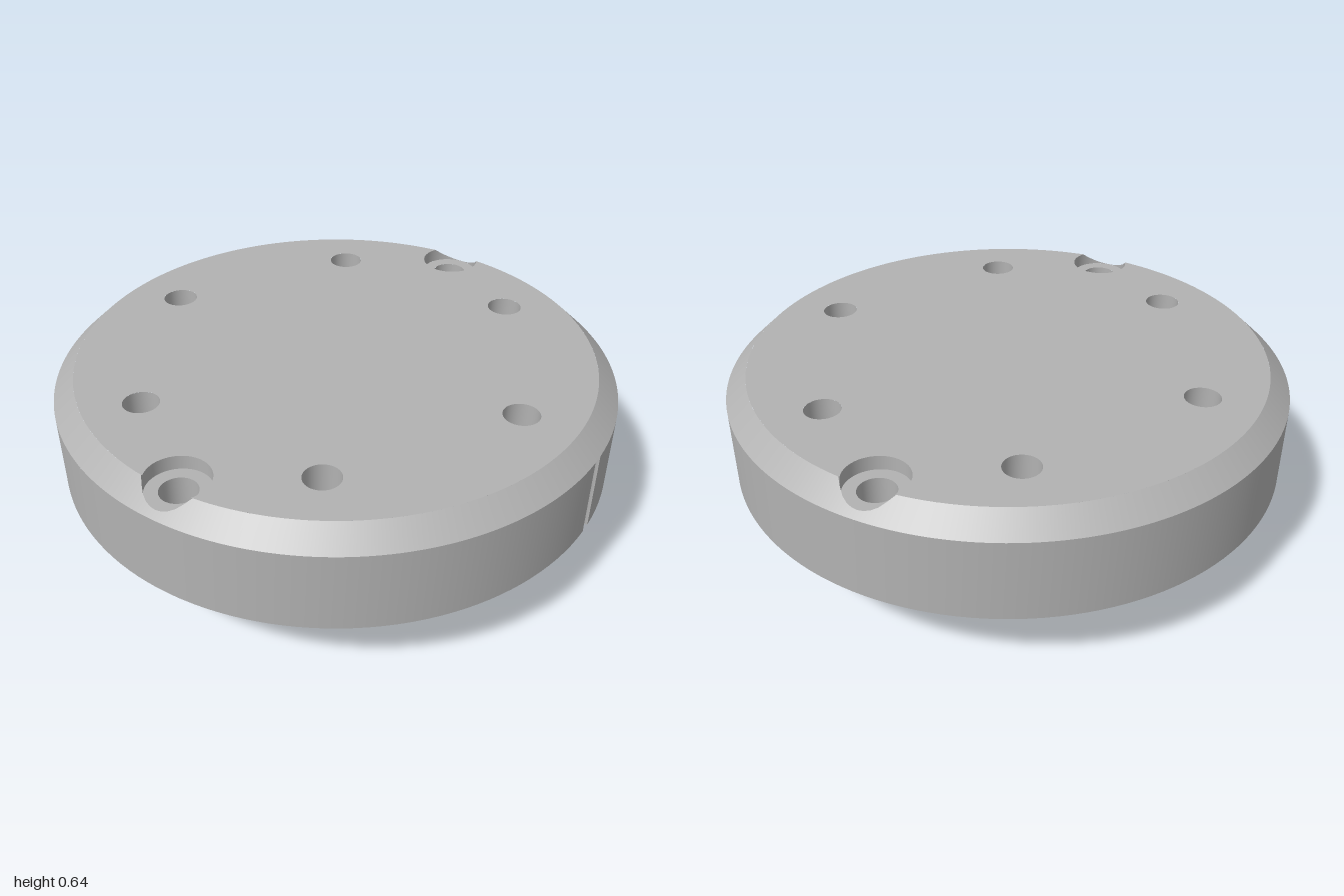
import * as THREE from 'three';

const N = 144;
const R = 1, TOP_R = 0.925, TOP = 0.64, EDGE = 0.57, BASE = 0.28, HUB_R = 0.635, HUB_Y = 0.06;
const BORE_R = 0.108, BORE_D = 0.87, BORE_Y = 0.59, HOLE_R = 0.048, HEAD_R = 0.063, STEP = 0.42;
const GROOVE = 0.02;

const steel = new THREE.MeshStandardMaterial({ color: 0xb2b2b2 });
steel.name = 'grey steel';

// Evenly spaced values from a to b
const range = (a, b, n) => Array.from({ length: n + 1 }, (_, i) => a + (b - a) * i / n);
// Evenly spaced positions on a ring
const ring = (count, r, start = 0) => range(0, count - 1, count - 1).map(i => {
  const a = start + i * Math.PI * 2 / count;
  return [r * Math.cos(a), r * Math.sin(a)];
});
// Height of the upper chamfer at a given radius
const chamferY = r => Math.min(TOP, TOP - (r - TOP_R) * (TOP - EDGE) / (R - TOP_R));

export function createModel() {
  const model = new THREE.Group();

  const add = (name, geo, parent = model) => {
    const mesh = new THREE.Mesh(geo, steel);
    mesh.name = name;
    parent.add(mesh);
    return mesh;
  };

  // Smooth strip between a lower and an upper row of [x, y, z] points
  const strip = (lower, upper, closed) => {
    const n = lower.length, index = [];
    for (let i = 0; i < (closed ? n : n - 1); i++) {
      const j = (i + 1) % n;
      index.push(i, j, n + j, i, n + j, n + i);
    }
    const geo = new THREE.BufferGeometry();
    geo.setAttribute('position', new THREE.Float32BufferAttribute([...lower, ...upper].flat(), 3));
    geo.setIndex(index);
    geo.computeVertexNormals();
    return geo;
  };

  // Round wall or cone; inner walls face their own axis
  const wall = (r0, y0, r1, y1, x = 0, z = 0, inner = false, n = N) => {
    const angles = range(0, Math.PI * 2, n).slice(0, n).map(a => inner ? -a : a);
    const row = (r, y) => angles.map(a => [x + r * Math.cos(a), y, z - r * Math.sin(a)]);
    return strip(row(r0, y0), row(r1, y1), true);
  };

  const circle = (r, x = 0, z = 0, Type = THREE.Path) => new Type().absarc(x, z, r, 0, Math.PI * 2);

  // Horizontal face with holes
  const face = (shape, y, up, holes = [], n = 24) => {
    shape.holes.push(...holes);
    const geo = new THREE.ShapeGeometry(shape, n);
    geo.rotateX(up ? -Math.PI / 2 : Math.PI / 2);
    geo.translate(0, y, 0);
    return geo;
  };
  const disc = (r, y, up, x = 0, z = 0, holes = [], n = 24) =>
    face(circle(r, x, up ? -z : z, THREE.Shape), y, up, holes, n);

  const boltHoles = ring(6, 0.727);
  const boreHoles = [[0, BORE_D], [0, -BORE_D]];
  const hubHoles = ring(6, 0.49, Math.PI / 6);

  // Top face, its rim bitten by the two counterbores
  const phi = Math.acos((TOP_R ** 2 + BORE_D ** 2 - BORE_R ** 2) / (2 * TOP_R * BORE_D));
  const beta = Math.atan2(TOP_R * Math.cos(phi) - BORE_D, TOP_R * Math.sin(phi));
  const half = [
    ...range(-Math.PI / 2 + phi, Math.PI / 2 - phi, 70)
      .map(a => new THREE.Vector2(TOP_R * Math.cos(a), TOP_R * Math.sin(a))),
    ...range(beta, -Math.PI - beta, 30).slice(1, -1)
      .map(a => new THREE.Vector2(BORE_R * Math.cos(a), BORE_D + BORE_R * Math.sin(a))),
  ];
  const topOutline = new THREE.Shape([...half, ...half.map(p => p.clone().negate())]);
  add('topFace', face(topOutline, TOP, true, boltHoles.map(([x, z]) => circle(HEAD_R, x, z))));

  // Upper chamfer, starting outside the counterbores where they cut it
  const angles = range(0, Math.PI * 2, 288).slice(0, 288);
  const innerRadius = a => {
    const s = Math.abs(Math.sin(a)), c = Math.cos(a), q = BORE_R ** 2 - (BORE_D * c) ** 2;
    return q > 0 ? Math.max(TOP_R, BORE_D * s + Math.sqrt(q)) : TOP_R;
  };
  const polar = (r, y, a) => [r * Math.cos(a), y, -r * Math.sin(a)];
  add('topChamfer', strip(
    angles.map(a => polar(R, EDGE, a)),
    angles.map(a => polar(innerRadius(a), chamferY(innerRadius(a)), a)), true));

  // Flange side with a small rounded groove on the left
  const gap = Math.asin(GROOVE);
  const sideArc = range(gap, Math.PI * 2 - gap, N).map(a => [Math.cos(a), Math.sin(a)]);
  const grooveArc = range(Math.PI * 1.5, Math.PI / 2, 10)
    .map(a => [R + GROOVE * Math.cos(a), GROOVE * Math.sin(a)]);
  const upright = pts => strip(pts.map(([x, y]) => [x, BASE, -y]), pts.map(([x, y]) => [x, EDGE, -y]), false);
  add('flangeSide', upright(sideArc));
  add('grooveWall', upright(grooveArc));
  const toShape = pts => new THREE.Shape(pts.map(p => new THREE.Vector2(...p)));
  add('grooveCeiling', face(toShape(grooveArc), EDGE, false));

  // Underside of the flange
  add('flangeUnderside', face(toShape([...sideArc, ...grooveArc.slice(1, -1)]), BASE, false,
    [circle(HUB_R), ...[...boltHoles, ...boreHoles].map(([x, z]) => circle(HOLE_R, x, z))], 48));

  // Stepped through holes
  const throughHole = (x, z, top) => {
    const hole = new THREE.Group();
    hole.name = 'steppedHole';
    add('holeHeadWall', wall(HEAD_R, STEP, HEAD_R, top, x, z, true, 32), hole);
    add('holeStep', disc(HEAD_R, STEP, true, x, z, [circle(HOLE_R, x, -z)]), hole);
    add('holeWall', wall(HOLE_R, BASE, HOLE_R, STEP, x, z, true, 32), hole);
    model.add(hole);
  };
  boltHoles.forEach(([x, z]) => throughHole(x, z, TOP));

  // Counterbores at front and back
  boreHoles.forEach(([x, z]) => {
    throughHole(x, z, BORE_Y);
    add('counterboreFloor', disc(BORE_R, BORE_Y, true, x, z, [circle(HEAD_R, x, -z)]));
    const pts = range(0, -Math.PI * 2, 64).slice(0, 64)
      .map(a => [BORE_R * Math.cos(a), z - BORE_R * Math.sin(a)]);
    add('counterboreWall', strip(
      pts.map(([px, pz]) => [px, BORE_Y, pz]),
      pts.map(([px, pz]) => [px, Math.max(BORE_Y, chamferY(Math.hypot(px, pz))), pz]), true));
  });

  // Hub below the flange
  add('hubSide', wall(HUB_R, 0.13, HUB_R, BASE));
  add('hubChamfer', wall(0.565, HUB_Y, HUB_R, 0.13));
  add('hubFace', disc(0.565, HUB_Y, false, 0, 0,
    [circle(0.325), ...hubHoles.map(([x, z]) => circle(0.05, x, z))], 48));

  // Blind central bore and blind hub holes
  const blindHole = (name, r, depthY, x, z, n) => {
    add(name + 'Wall', wall(r, HUB_Y, r, depthY, x, z, true, n));
    add(name + 'End', disc(r, depthY, false, x, z));
  };
  blindHole('centralBore', 0.325, 0.52, 0, 0, 96);
  hubHoles.forEach(([x, z]) => blindHole('hubHole', 0.05, 0.36, x, z, 32));

  // Three locating pins
  ring(3, 0.44, Math.PI / 3).forEach(([x, z]) => {
    const pin = new THREE.Group();
    pin.name = 'locatingPin';
    add('pinSide', wall(0.07, 0.02, 0.07, HUB_Y, x, z, false, 32), pin);
    add('pinChamfer', wall(0.054, 0, 0.07, 0.02, x, z, false, 32), pin);
    add('pinEnd', disc(0.054, 0, false, x, z), pin);
    model.add(pin);
  });

  return model;
}
